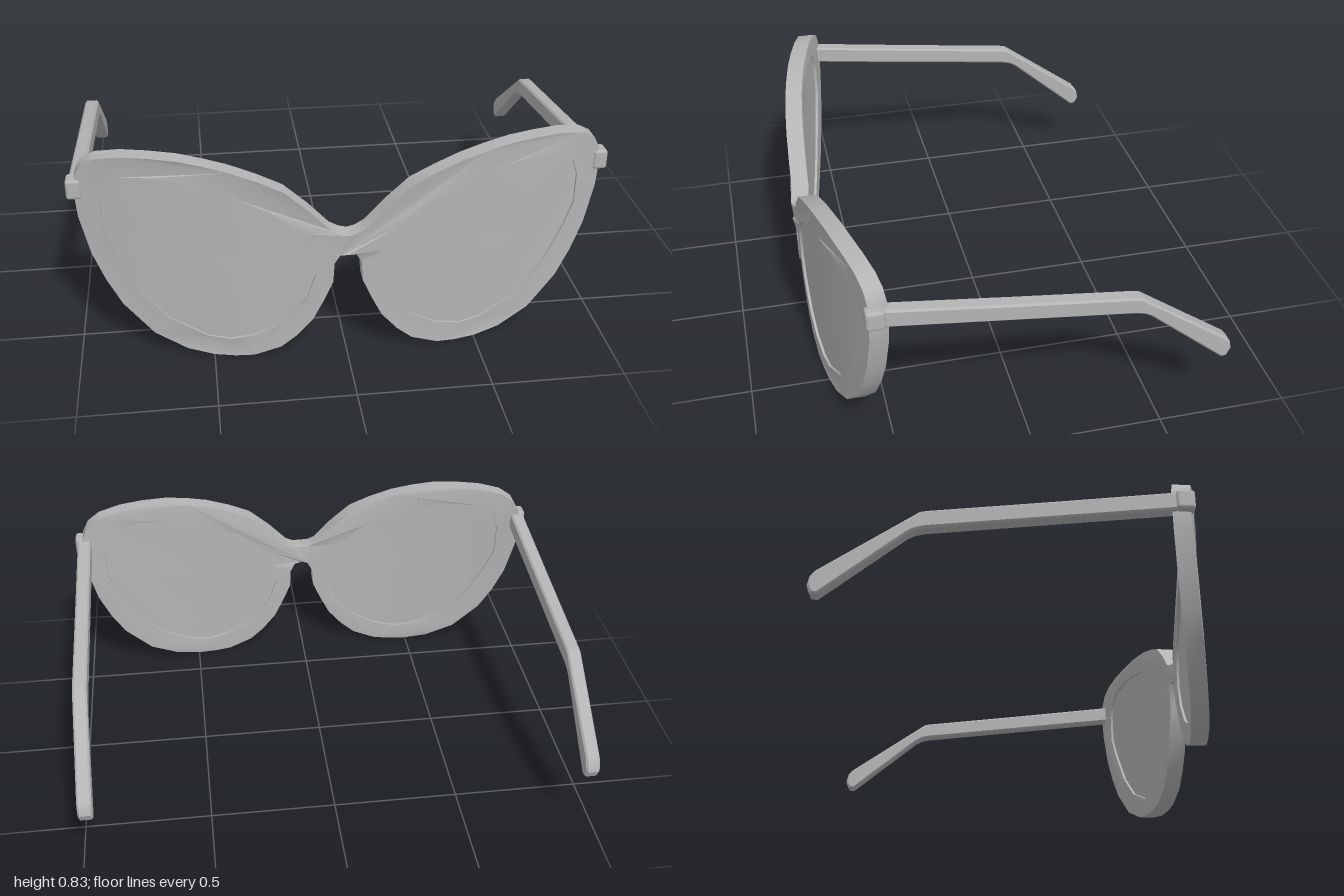
import * as THREE from 'three';
import { toCreasedNormals } from 'three/addons/utils/BufferGeometryUtils.js';
import { RoundedBoxGeometry } from 'three/addons/geometries/RoundedBoxGeometry.js';

const THICK = 0.068;

// Front surface of the wrapped frame, with a small ridge on the bridge
const wrapZ = (x) => 0.74 - 0.172 * x * x + 0.012 * Math.max(0, 1 - Math.abs(x) / 0.05);

// Half outline of the frame, from the top of the bridge round to its underside
const RIM = [
  [0, 0.52], [0.03, 0.523], [0.065, 0.54], [0.14, 0.62], [0.23, 0.7], [0.32, 0.742], [0.42, 0.78],
  [0.51, 0.803], [0.6, 0.82], [0.7, 0.826], [0.8, 0.825], [0.89, 0.81], [0.94, 0.78], [0.965, 0.735],
  [0.972, 0.66], [0.965, 0.57], [0.93, 0.42], [0.885, 0.31], [0.83, 0.21], [0.72, 0.09], [0.6, 0.027],
  [0.5, 0.004], [0.42, 0], [0.35, 0.004], [0.25, 0.04], [0.19, 0.09], [0.13, 0.16], [0.09, 0.24],
  [0.055, 0.32], [0.05, 0.4], [0.03, 0.435], [0, 0.44],
];

// Outline of one lens opening
const LENS = [
  [0.88, 0.64], [0.86, 0.7], [0.81, 0.745], [0.7, 0.75], [0.6, 0.737], [0.52, 0.717], [0.44, 0.69],
  [0.36, 0.657], [0.28, 0.62], [0.17, 0.53], [0.13, 0.44], [0.12, 0.35], [0.155, 0.25], [0.24, 0.15],
  [0.34, 0.095], [0.44, 0.075], [0.52, 0.088], [0.66, 0.16], [0.76, 0.27], [0.84, 0.42], [0.88, 0.52],
];

// Side profile of a temple arm as [z, y]
const ARM = [
  [0.55, 0.72], [0.1, 0.662], [-0.36, 0.605], [-0.385, 0.6], [-0.41, 0.582], [-0.73, 0.352],
  [-0.748, 0.33], [-0.756, 0.295], [-0.742, 0.263], [-0.72, 0.26], [-0.425, 0.512], [-0.4, 0.526],
  [-0.365, 0.535], [0, 0.58], [0.55, 0.648],
];

const mirror = (pts) => pts.map(([x, y]) => [-x, y]).reverse();
const vectors = (pts) => pts.map(([x, y]) => new THREE.Vector2(x, y));

// Frame with two openings, wrapped around the face
function frameGeometry() {
  const shape = new THREE.Shape(vectors([...RIM, ...mirror(RIM).slice(1, -1)]));
  for (const hole of [LENS, mirror(LENS)]) shape.holes.push(new THREE.Path(vectors(hole)));
  const geo = new THREE.ExtrudeGeometry(shape, { depth: THICK, bevelEnabled: false });
  const p = geo.attributes.position;
  for (let i = 0; i < p.count; i++) p.setZ(i, p.getZ(i) - THICK + wrapZ(p.getX(i)));
  return toCreasedNormals(geo, 0.6);
}

// Lens: concentric rings that follow the same wrap, front and back
function lensGeometry(outline) {
  const cx = 0.5 * Math.sign(outline[0][0]), cy = 0.43, n = outline.length, rings = 4;
  const pos = [], index = [];
  for (const [side, depth] of [[0, 0.01], [1, THICK - 0.01]]) {
    const base = pos.length / 3;
    for (let r = 0; r <= rings; r++) {
      for (const [px, py] of outline) {
        const x = cx + (px - cx) * r / rings;
        pos.push(x, cy + (py - cy) * r / rings, wrapZ(x) - depth);
      }
    }
    for (let r = 0; r < rings; r++) {
      for (let i = 0; i < n; i++) {
        const a = base + r * n + i, b = base + r * n + (i + 1) % n, c = a + n, d = b + n;
        const tris = r === 0 ? [[a, c, d]] : [[a, c, d], [a, d, b]];
        for (const t of tris) index.push(...(side ? t.reverse() : t));
      }
    }
  }
  const geo = new THREE.BufferGeometry();
  geo.setAttribute('position', new THREE.Float32BufferAttribute(pos, 3));
  geo.setIndex(index);
  geo.computeVertexNormals();
  return geo;
}

// Temple arm, centred on its own middle plane
function armGeometry() {
  const bevel = 0.007, width = 0.055;
  const geo = new THREE.ExtrudeGeometry(new THREE.Shape(vectors(ARM)), {
    depth: width - 2 * bevel, bevelEnabled: true, bevelSize: bevel, bevelOffset: -bevel,
    bevelThickness: bevel, bevelSegments: 1,
  });
  geo.translate(0, 0, bevel - width / 2);
  geo.rotateY(-Math.PI / 2);
  return toCreasedNormals(geo, 0.6);
}

export function createModel() {
  const grey = new THREE.MeshStandardMaterial({ color: 0xb4b4b4 });
  grey.name = 'grey';
  const model = new THREE.Group();
  model.name = 'sunglasses';

  const add = (name, geo, x = 0, y = 0, z = 0) => {
    const mesh = new THREE.Mesh(geo, grey);
    mesh.name = name;
    mesh.position.set(x, y, z);
    model.add(mesh);
  };

  add('frame', frameGeometry());
  const arm = armGeometry();
  const hinge = new RoundedBoxGeometry(0.055, 0.077, 0.068, 2, 0.012);
  for (const [side, s] of [['left', 1], ['right', -1]]) {
    add(side + 'Lens', lensGeometry(s > 0 ? LENS : mirror(LENS)));
    add(side + 'Hinge', hinge, s * 0.9725, 0.683, 0.558);
    add(side + 'Temple', arm, s * 0.961);
  }
  return model;
}
